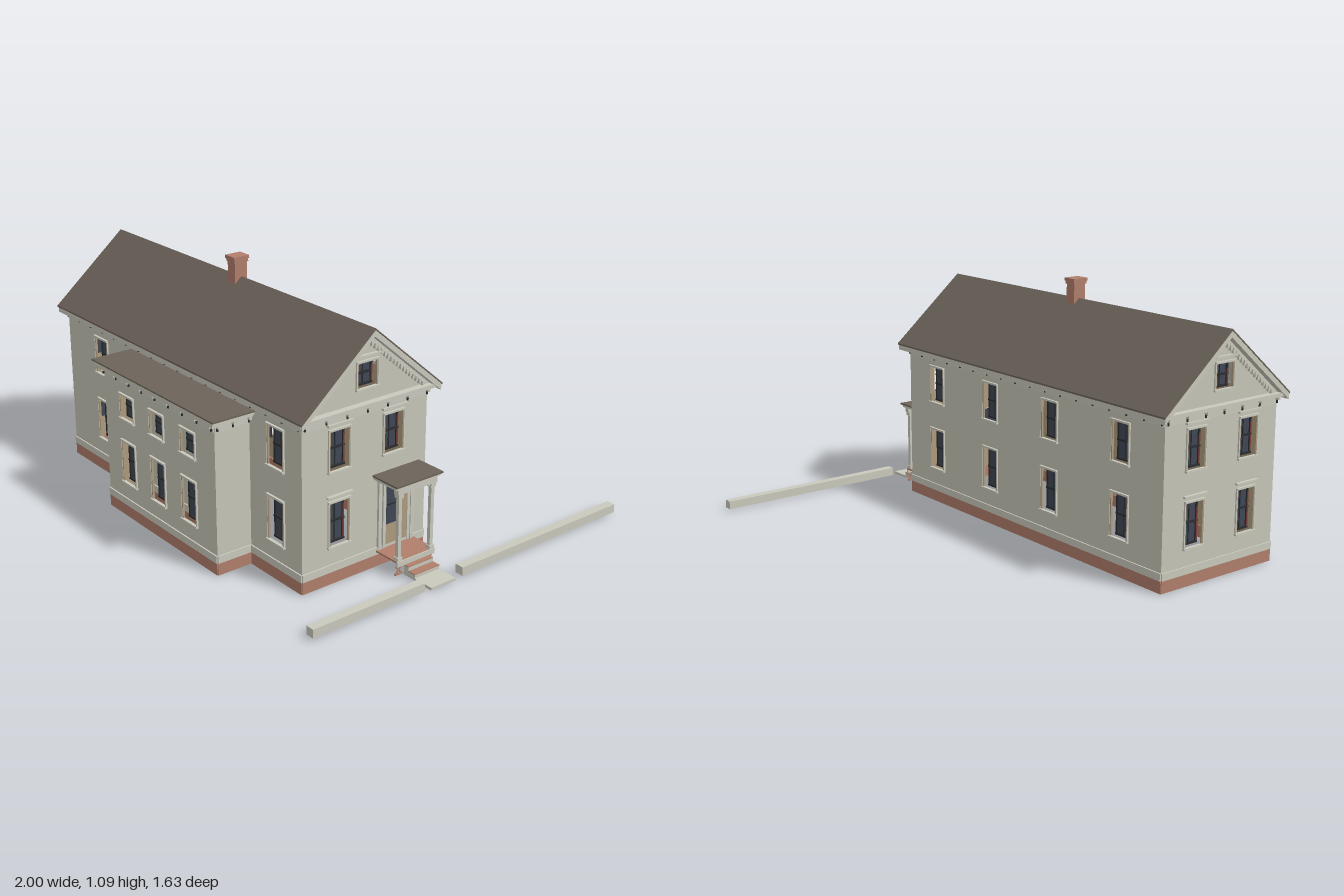
import * as THREE from 'three';

const mat = (name, color) => {
  const m = new THREE.MeshStandardMaterial({ color });
  m.name = name;
  return m;
};

export function createModel() {
  const siding = mat('siding', 0xc6c5b7);
  const trim = mat('trim', 0xc9c9bc);
  const roofing = mat('roofing', 0x6c635a);
  const brick = mat('brick', 0xb07e6b);
  const tan = mat('tan', 0xae9a7e);
  const glass = mat('glass', 0x404754);
  const sash = mat('sash', 0x2b2d31);
  const curtain = mat('curtain', 0x7a3a34);

  const house = new THREE.Group();
  house.name = 'house';

  const add = (parent, name, geo, material) => {
    const m = new THREE.Mesh(geo, material);
    m.name = name;
    parent.add(m);
    return m;
  };
  // Box given by its minimum and maximum along each axis
  const box = (parent, name, material, x0, x1, y0, y1, z0, z1) => {
    const m = add(parent, name, new THREE.BoxGeometry(x1 - x0, y1 - y0, z1 - z0), material);
    m.position.set((x0 + x1) / 2, (y0 + y1) / 2, (z0 + z1) / 2);
    return m;
  };
  const flip = (geo) => {
    const g = geo.clone();
    const i = g.index.array;
    for (let k = 0; k < i.length; k += 3) [i[k], i[k + 1]] = [i[k + 1], i[k]];
    g.computeVertexNormals();
    return g;
  };

  // Sash window set back in its opening, on a wall facing local +z
  const W = 0.045;
  function addWindow(wall, u, y0, y1) {
    const g = new THREE.Group();
    g.name = 'window';
    g.position.x = u;
    wall.add(g);
    const mid = (y0 + y1) / 2;
    box(g, 'glass', glass, -W, W, y0, y1, -0.032, -0.028);
    for (const s of [-1, 1]) {
      box(g, 'sashStile', sash, s * 0.04 - 0.004, s * 0.04 + 0.004, y0, y1, -0.028, -0.022);
      box(g, 'jamb', tan, s * 0.0465 - 0.0025, s * 0.0465 + 0.0025, y0, y1, -0.004, 0.005);
      box(g, 'casing', trim, s * 0.0515 - 0.0025, s * 0.0515 + 0.0025, y0, y1, 0, 0.007);
    }
    box(g, 'curtainEdge', curtain, 0.036, 0.043, y0 + 0.01, y1 - 0.03, -0.022, -0.02);
    for (const y of [y0 + 0.004, mid, y1 - 0.004])
      box(g, 'sashRail', sash, -W, W, y - 0.004, y + 0.004, -0.028, -0.02);
    box(g, 'muntin', sash, -0.0015, 0.0015, y0, y1, -0.028, -0.024);
    box(g, 'sill', trim, -0.056, 0.056, y0 - 0.008, y0, -0.002, 0.012);
    box(g, 'head', trim, -0.054, 0.054, y1, y1 + 0.008, -0.002, 0.01);
  }

  // One wall with openings, foundation, water table, frieze, brackets and ledge
  function addWall({ name, pos, rot, u0, u1, top, gable, hood, windows = [], plain, out = 0.03 }) {
    const g = new THREE.Group();
    g.name = name;
    g.position.set(...pos);
    g.rotation.y = rot;
    house.add(g);
    const pts = [[u0, 0.05], [u1, 0.05], [u1, top]];
    if (gable) pts.push([(u0 + u1) / 2, 0.98]);
    pts.push([u0, top]);
    const shape = new THREE.Shape(pts.map((p) => new THREE.Vector2(...p)));
    for (const [u, a, b] of windows) {
      shape.holes.push(new THREE.Path([[u - W, a], [u - W, b], [u + W, b], [u + W, a]]
        .map((p) => new THREE.Vector2(...p))));
      addWindow(g, u, a, b);
      if (hood) box(g, 'windowHood', trim, u - 0.06, u + 0.06, b + 0.022, b + 0.03, 0, 0.014);
    }
    const geo = new THREE.ShapeGeometry(shape);
    add(g, 'outerWall', geo, siding);
    add(g, 'innerWall', flip(geo), tan).position.z = -0.012;
    box(g, 'foundation', brick, u0, u1, 0, 0.052, -0.02, 0.003);
    box(g, 'waterTable', trim, u0, u1, 0.052, 0.083, -0.004, 0.006);
    if (plain) return g;
    box(g, 'frieze', trim, u0, u1, top - 0.04, top, -0.004, 0.006);
    box(g, 'ledge', trim, u0 - out, u1 + out, top - 0.008, top + 0.008, -0.004, out);
    const n = Math.round((u1 - u0) / 0.1);
    for (let i = 0; i <= n; i++) {
      const u = u0 + 0.008 + ((u1 - u0 - 0.016) * i) / n;
      box(g, 'bracket', trim, u - 0.006, u + 0.006, top - 0.022, top - 0.008, 0, 0.022);
      box(g, 'bracketDrop', sash, u - 0.003, u + 0.003, top - 0.036, top - 0.012, 0.004, 0.011);
    }
    return g;
  }

  const LOW = [0.16, 0.34], HIGH = [0.47, 0.63];
  const rows = (us) => us.flatMap((u) => [[u, ...LOW], [u, ...HIGH]]);
  addWall({ name: 'frontWall', pos: [0, 0, 0.62], rot: 0, u0: -0.96, u1: 0.72, top: 0.7, windows: rows([-0.68, 0.565]) });
  addWall({ name: 'backWall', pos: [0, 0, 0.01], rot: Math.PI, u0: -0.72, u1: 0.96, top: 0.7, windows: rows([-0.505, -0.11, 0.29, 0.72]) });
  const gableWindow = [0.765, 0.865];
  const leftWall = addWall({
    name: 'porchEndWall', pos: [0.72, 0, 0], rot: Math.PI / 2, u0: -0.62, u1: -0.01, top: 0.7, gable: true, hood: true,
    windows: [[-0.445, ...LOW], [-0.445, ...HIGH], [-0.18, ...HIGH], [-0.315, ...gableWindow]],
  });
  const rightWall = addWall({
    name: 'plainEndWall', pos: [-0.96, 0, 0], rot: -Math.PI / 2, u0: 0.01, u1: 0.62, top: 0.7, gable: true, hood: true,
    windows: [...rows([0.175, 0.46]), [0.315, ...gableWindow]],
  });

  // Projecting bay
  const bayWindows = [-0.22, 0, 0.22].flatMap((u) => [[u, ...LOW], [u, 0.445, 0.545]]);
  addWall({ name: 'bayFront', pos: [0, 0, 0.78], rot: 0, u0: -0.39, u1: 0.4, top: 0.637, windows: bayWindows });
  addWall({ name: 'bayLeft', pos: [0.4, 0, 0], rot: Math.PI / 2, u0: -0.78, u1: -0.62, top: 0.637, out: 0.025 });
  addWall({ name: 'bayRight', pos: [-0.39, 0, 0], rot: -Math.PI / 2, u0: 0.62, u1: 0.78, top: 0.637, out: 0.025 });
  box(house, 'bayRoofEdge', trim, -0.43, 0.435, 0.64, 0.65, 0.62, 0.81);
  box(house, 'bayRoof', roofing, -0.433, 0.438, 0.65, 0.656, 0.62, 0.813);

  // Main gable roof: a chevron section swept along the ridge
  const chevron = (name, material, top, bottom, half, x0, x1) => {
    const slope = 0.29 / 0.34;
    const s = new THREE.Shape([
      [-half, top - half * slope], [-half, bottom - half * slope], [0, bottom],
      [half, bottom - half * slope], [half, top - half * slope], [0, top],
    ].map((p) => new THREE.Vector2(...p)));
    const geo = new THREE.ExtrudeGeometry(s, { depth: x1 - x0, bevelEnabled: false });
    geo.rotateY(Math.PI / 2);
    geo.translate(x0, 0, 0.31);
    add(house, name, geo, material);
  };
  chevron('roofBoards', trim, 0.995, 0.968, 0.338, -0.998, 0.758);
  chevron('roofCovering', roofing, 1.001, 0.994, 0.342, -1, 0.76);

  // Raking boards and dentils on both gables
  for (const [x0, x1] of [[0.72, 0.728], [-0.968, -0.96]]) {
    chevron('rakeBoard', trim, 0.969, 0.945, 0.3, x0, x1);
    for (const s of [-1, 1])
      for (let i = 0; i < 17; i++) {
        const d = 0.012 + i * 0.016, y = 0.945 - d * 0.853, z = 0.31 + s * d;
        box(house, 'dentil', trim, x0 - 0.004, x1 + 0.004, y - 0.012, y + 0.01, z - 0.005, z + 0.005);
      }
  }

  // Chimney
  box(house, 'chimney', brick, -0.117, -0.068, 0.95, 1.06, 0.282, 0.342);
  box(house, 'chimneyCollar', brick, -0.121, -0.064, 1.06, 1.072, 0.278, 0.346);
  box(house, 'chimneyCap', brick, -0.124, -0.061, 1.072, 1.085, 0.275, 0.349);

  // Door with a tall side pane
  box(leftWall, 'door', tan, -0.215, -0.105, 0.083, 0.335, 0, 0.006);
  box(leftWall, 'doorPane', glass, -0.214, -0.152, 0.17, 0.333, 0.006, 0.009);
  box(leftWall, 'doorPaneEdge', curtain, -0.154, -0.148, 0.17, 0.333, 0.006, 0.01);
  box(leftWall, 'doorRail', sash, -0.214, -0.152, 0.25, 0.256, 0.009, 0.011);
  for (const u of [-0.222, -0.098]) box(leftWall, 'doorCasing', trim, u - 0.007, u + 0.007, 0.07, 0.345, 0, 0.009);
  box(leftWall, 'doorHead', trim, -0.23, -0.09, 0.335, 0.35, 0, 0.01);

  // Porch
  const porch = new THREE.Group();
  porch.name = 'porch';
  house.add(porch);
  box(porch, 'porchFloor', brick, 0.72, 0.845, 0.064, 0.071, 0.066, 0.26);
  box(porch, 'porchFloorEdge', trim, 0.841, 0.85, 0.048, 0.07, 0.066, 0.26);
  box(porch, 'porchCornice', trim, 0.72, 0.85, 0.376, 0.388, 0.05, 0.275);
  box(porch, 'porchRoof', roofing, 0.72, 0.86, 0.388, 0.395, 0.043, 0.28);
  box(porch, 'porchBeam', trim, 0.824, 0.848, 0.352, 0.376, 0.062, 0.262);
  for (const [z, inward] of [[0.08, 1], [0.245, -1]]) {
    box(porch, 'post', trim, 0.827, 0.843, 0.07, 0.355, z - 0.008, z + 0.008);
    box(porch, 'postBase', trim, 0.823, 0.847, 0.07, 0.085, z - 0.012, z + 0.012);
    box(porch, 'postCapital', trim, 0.823, 0.847, 0.335, 0.352, z - 0.013, z + 0.013);
    box(porch, 'wallPost', trim, 0.72, 0.73, 0.07, 0.376, z - 0.008, z + 0.008);
    // Curved bracket beside the post
    const b = new THREE.Shape();
    b.moveTo(0, 0.31);
    b.quadraticCurveTo(0.008, 0.345, 0.036, 0.352);
    b.lineTo(0, 0.352);
    const m = add(porch, 'postBracket', new THREE.ExtrudeGeometry(b, { depth: 0.008, bevelEnabled: false, curveSegments: 5 }), trim);
    m.rotation.y = -inward * Math.PI / 2;
    m.position.set(0.835 + inward * 0.004, 0, z);
    // Crossed lattice below the floor
    const lz = inward > 0 ? 0.083 : 0.243;
    for (const a of [-0.8, 0.8]) {
      const slat = box(porch, 'lattice', brick, 0.836, 0.84, 0.027, 0.033, lz - 0.024, lz + 0.024);
      slat.rotation.x = a;
    }
    box(porch, 'latticeRail', brick, 0.834, 0.842, 0.01, 0.016, lz - 0.018, lz + 0.018);
  }

  // Steps, walk and low kerb walls
  const stairs = [[0.845, 0.872, 0.046], [0.872, 0.908, 0.028]];
  for (const [x0, x1, h] of stairs) {
    box(house, 'step', trim, x0, x1, 0.006, h, 0.095, 0.222);
    box(house, 'stepTread', brick, x0, x1, h, h + 0.003, 0.095, 0.222);
  }
  box(house, 'walk', trim, 0.908, 1, 0.003, 0.014, 0.095, 0.222);
  for (const [z0, z1] of [[-0.82, 0.06], [0.255, 0.79]])
    box(house, 'kerbWall', trim, 0.962, 1, 0.01, 0.046, z0, z1);

  return house;
}
